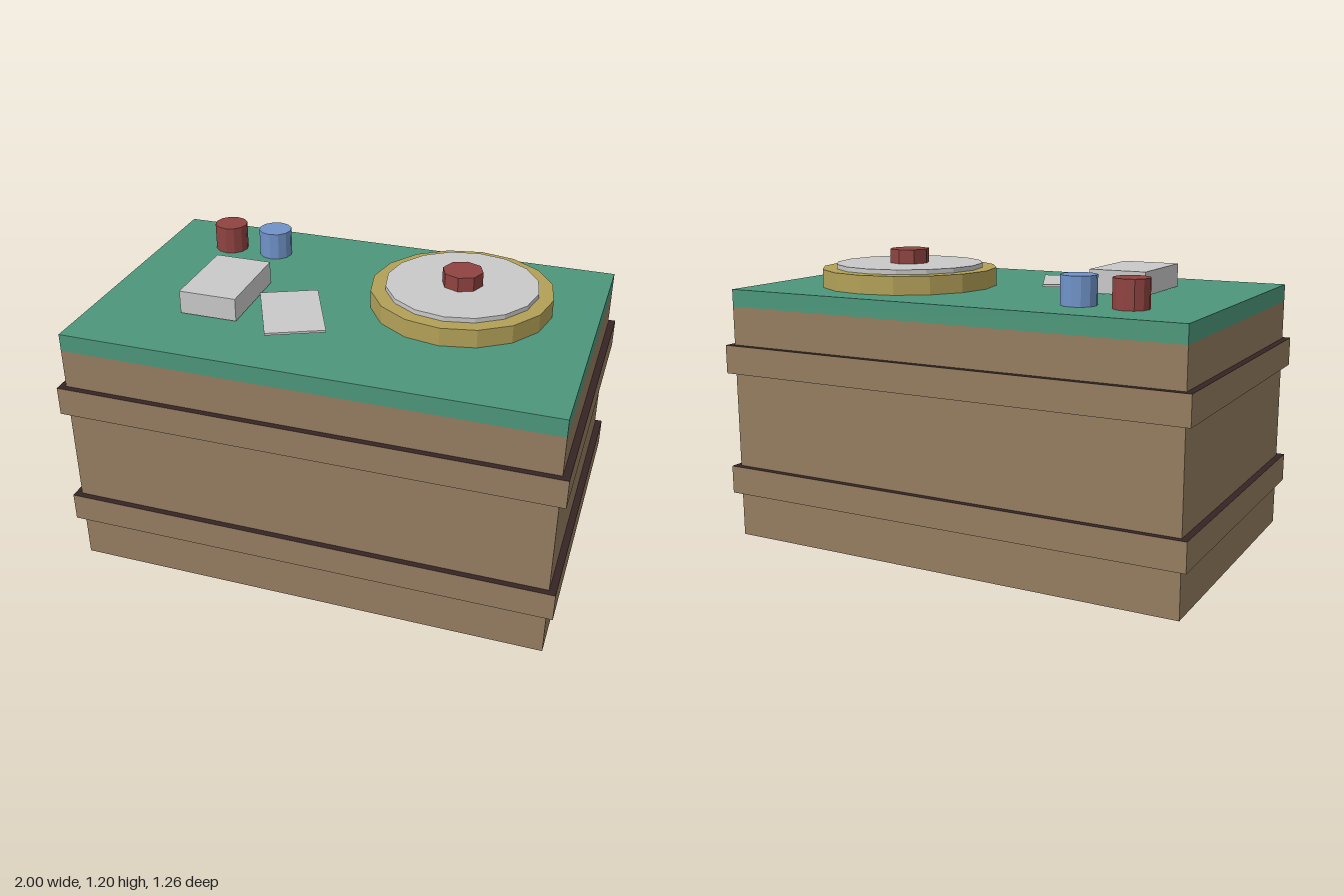
import * as THREE from 'three';

const material = (name, color) => {
  const m = new THREE.MeshStandardMaterial({ color });
  m.name = name;
  return m;
};

export function createModel() {
  const wood = material('wood brown', 0x957c60);
  const dark = material('dark edge', 0x352424);
  const felt = material('felt green', 0x4d977b);
  const gold = material('gold rim', 0xb3a158);
  const grey = material('pale grey', 0xc9c9c9);
  const red = material('red', 0x8f4340);
  const blue = material('blue', 0x7093c9);
  for (const m of [gold, grey, red, blue]) m.flatShading = true;

  const model = new THREE.Group();
  model.name = 'gameTable';

  // Box and drum helpers: y0 and y1 are the bottom and top heights
  const add = (name, geometry, mat, x, y, z) => {
    const mesh = new THREE.Mesh(geometry, mat);
    mesh.name = name;
    mesh.position.set(x, y, z);
    model.add(mesh);
    return mesh;
  };
  const box = (name, w, d, y0, y1, mat, x = 0, z = 0) =>
    add(name, new THREE.BoxGeometry(w, y1 - y0, d), mat, x, (y0 + y1) / 2, z);
  const drum = (name, r, sides, y0, y1, mat, x, z) =>
    add(name, new THREE.CylinderGeometry(r, r, y1 - y0, sides), mat, x, (y0 + y1) / 2, z);

  // Cabinet with felt top
  box('cabinet', 1.945, 1.215, 0, 0.975, wood);
  box('feltTop', 1.945, 1.215, 0.975, 1.046, felt);

  // Raised bands with dark upper and lower ledges
  const bandFaces = [wood, wood, dark, dark, wood, wood];
  box('lowerBand', 2, 1.265, 0.187, 0.303, bandFaces);
  box('upperBand', 2, 1.265, 0.7, 0.817, bandFaces);

  // Stepped wheel with centre knob
  const wx = 0.425, wz = -0.125;
  drum('wheelRim', 0.365, 16, 1.046, 1.12, gold, wx, wz);
  drum('wheelDisc', 0.306, 16, 1.12, 1.139, grey, wx, wz);
  drum('wheelKnob', 0.082, 8, 1.139, 1.197, red, wx, wz);

  // Pair of tokens
  drum('redToken', 0.07, 12, 1.046, 1.159, red, -0.672, -0.367);
  drum('blueToken', 0.07, 12, 1.046, 1.159, blue, -0.465, -0.367);

  // Card deck and a loose card
  box('cardDeck', 0.235, 0.365, 1.05, 1.144, grey, -0.488, 0.118);
  box('looseCard', 0.235, 0.355, 1.058, 1.067, grey, -0.183, 0.18).rotation.y = 0.43;

  return model;
}
